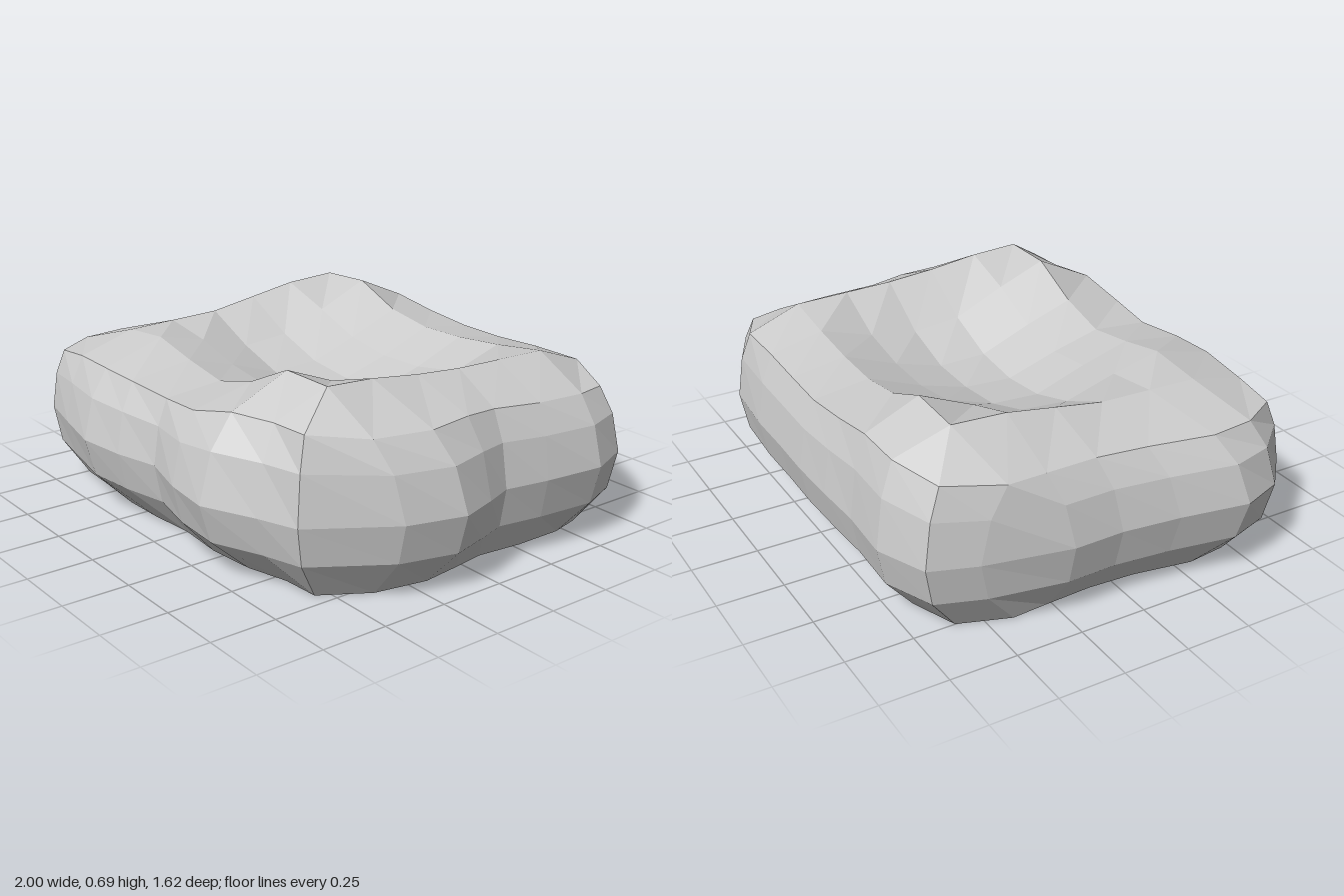
import * as THREE from 'three';

// Outline loops run: back left -> back right -> front right -> front left -> back.
// Widest outline at mid height (x, z)
const WIDE = [
  [-0.81, -0.73], [-0.62, -0.81], [-0.4, -0.8], [-0.2, -0.81], [0, -0.815], [0.2, -0.81], [0.4, -0.81], [0.66, -0.79],
  [0.9, -0.68], [0.97, -0.51], [0.945, -0.27], [0.915, -0.1], [0.955, 0.01], [1, 0.155], [0.94, 0.37],
  [0.75, 0.66], [0.6, 0.715], [0.4, 0.805], [0.2, 0.785], [0, 0.735], [-0.18, 0.78], [-0.38, 0.805], [-0.6, 0.76],
  [-0.8, 0.715], [-0.94, 0.59], [-1, 0.43], [-0.955, 0.17], [-0.93, -0.05], [-0.935, -0.24], [-0.87, -0.56],
];
// Rim where the side meets the cushion top (x, y, z)
const RIM = [
  [-0.78, 0.57, -0.66], [-0.6, 0.6, -0.735], [-0.4, 0.6, -0.735], [-0.2, 0.57, -0.74], [0, 0.55, -0.745],
  [0.2, 0.55, -0.74], [0.4, 0.56, -0.74], [0.62, 0.56, -0.74],
  [0.82, 0.525, -0.65], [0.85, 0.53, -0.52], [0.85, 0.54, -0.31], [0.83, 0.555, -0.11], [0.85, 0.565, 0.03],
  [0.87, 0.56, 0.2], [0.83, 0.565, 0.42],
  [0.72, 0.59, 0.61], [0.57, 0.59, 0.62], [0.4, 0.59, 0.67], [0.2, 0.545, 0.69], [0, 0.53, 0.675],
  [-0.2, 0.545, 0.695], [-0.38, 0.55, 0.7], [-0.6, 0.54, 0.68],
  [-0.77, 0.52, 0.67], [-0.86, 0.525, 0.52], [-0.88, 0.525, 0.35], [-0.84, 0.53, 0.1], [-0.83, 0.54, -0.1],
  [-0.84, 0.545, -0.3], [-0.85, 0.55, -0.45],
];
// Inner top grid: column x, row z and the dented heights
const COLS = [-0.62, -0.4, -0.2, 0, 0.2, 0.41, 0.63];
const ROWS = [-0.53, -0.32, -0.13, 0.06, 0.26, 0.45];
const HEIGHTS = [
  [0.68, 0.69, 0.61, 0.58, 0.585, 0.605, 0.635],
  [0.67, 0.6, 0.53, 0.5, 0.505, 0.54, 0.64],
  [0.64, 0.53, 0.465, 0.445, 0.45, 0.51, 0.645],
  [0.61, 0.515, 0.455, 0.435, 0.455, 0.53, 0.66],
  [0.605, 0.575, 0.525, 0.5, 0.535, 0.62, 0.685],
  [0.6, 0.62, 0.58, 0.55, 0.6, 0.695, 0.695],
];
const NX = 8, NZ = 7, N = 2 * (NX + NZ);

function mix(a, b, t) {
  return a.map((v, i) => v + (b[i] - v) * t);
}

// Point of the top grid; its border is taken from the rim loop
function topPoint(r, c) {
  if (r === 0) return RIM[c];
  if (c === NX) return RIM[NX + r];
  if (r === NZ) return RIM[2 * NX + NZ - c];
  if (c === 0) return RIM[N - r];
  return [COLS[c - 1], HEIGHTS[r - 1][c - 1], ROWS[r - 1]];
}

export function createModel() {
  const pos = [];
  const quad = (a, b, c, d) => pos.push(...a, ...b, ...c, ...a, ...c, ...d);

  // Five loops rounding the side from base to rim
  const base = RIM.map(([x, , z]) => [x * 0.96, 0, z * 0.9]);
  const wide = WIDE.map(([x, z]) => [x, 0.29, z]);
  const low = wide.map((p, i) => { const q = mix(base[i], p, 0.79); return [q[0], 0.145, q[2]]; });
  const high = wide.map((p, i) => {
    const q = mix(p, RIM[i], 0.37);
    return [q[0], 0.29 + (RIM[i][1] - 0.29) * 0.6, q[2]];
  });
  const loops = [base, low, wide, high, RIM];
  for (let k = 0; k < loops.length - 1; k++) {
    for (let i = 0; i < N; i++) {
      const j = (i + 1) % N;
      quad(loops[k][i], loops[k + 1][i], loops[k + 1][j], loops[k][j]);
    }
  }

  // Dented top
  for (let r = 0; r < NZ; r++) {
    for (let c = 0; c < NX; c++) {
      quad(topPoint(r, c), topPoint(r + 1, c), topPoint(r + 1, c + 1), topPoint(r, c + 1));
    }
  }

  // Flat underside
  for (let i = 0; i < N; i++) pos.push(0, 0, 0, ...base[i], ...base[(i + 1) % N]);

  const geometry = new THREE.BufferGeometry();
  geometry.setAttribute('position', new THREE.Float32BufferAttribute(pos, 3));
  geometry.computeVertexNormals();
  const cushion = new THREE.Mesh(
    geometry,
    new THREE.MeshStandardMaterial({ color: 0xcccccc, flatShading: true })
  );
  cushion.name = 'cushion';

  const group = new THREE.Group();
  group.name = 'dentedCushion';
  group.add(cushion);
  return group;
}
